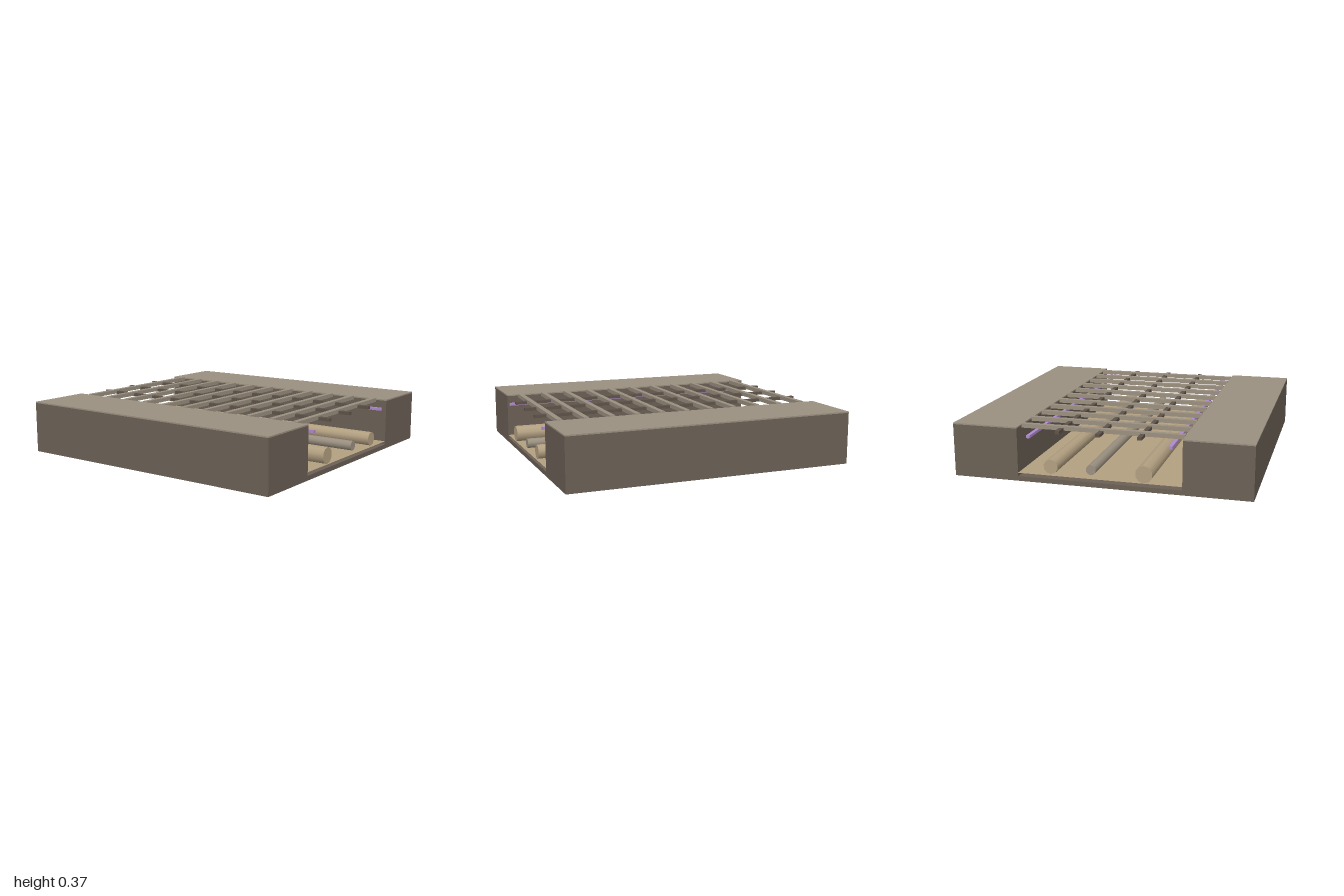
import * as THREE from 'three';

const mat = (name, color, extra = {}) => Object.assign(new THREE.MeshStandardMaterial({ color, ...extra }), { name });

export function createModel() {
  const root = new THREE.Group();
  root.name = 'serviceTrench';

  const wallMat = mat('darkStone', 0x6b6055);
  const deckMat = mat('paleStone', 0x9b9080);
  const tanMat = mat('tan', 0xb3a081);
  const floorMat = mat('tanFloor', 0xb3a081, { side: THREE.DoubleSide });
  const beamMat = mat('darkBeam', 0x5e5349);
  const stripMat = mat('purpleLight', 0xb08ad0);

  const add = (name, geometry, material, x, y, z = 0) => {
    const mesh = new THREE.Mesh(geometry, material);
    mesh.name = name;
    mesh.position.set(x, y, z);
    root.add(mesh);
    return mesh;
  };
  // Box placed by its bottom and top heights
  const slab = (name, m, x, w, y0, y1, z = 0, d = 2) =>
    add(name, new THREE.BoxGeometry(w, y1 - y0, d), m, x, (y0 + y1) / 2, z);

  // Foundation and the raised trench floor sheet
  slab('base', wallMat, 0, 2, 0, 0.032);
  add('trenchFloor', new THREE.PlaneGeometry(1.1, 2).rotateX(-Math.PI / 2), floorMat, 0, 0.055);

  // Side blocks, their walkway tops and light strips
  for (const [side, s] of [['left', 1], ['right', -1]]) {
    slab(side + 'Block', wallMat, s * 0.775, 0.45, 0.032, 0.355);
    slab(side + 'Walkway', deckMat, s * 0.775, 0.45, 0.355, 0.364);
    slab(side + 'LightStrip', stripMat, s * 0.474, 0.024, 0.296, 0.314);
  }

  // Pipes along the trench: x, radius, material
  const pipes = [[-0.302, 0.058, tanMat], [0.048, 0.034, deckMat], [0.322, 0.049, tanMat]];
  for (const [x, r, m] of pipes) {
    add('pipe', new THREE.CylinderGeometry(r, r, 2, 10).rotateX(Math.PI / 2), m, x, 0.115);
  }

  // Lengthwise grate beams
  for (const x of [-0.273, 0, 0.273]) slab('grateBeam', beamMat, x, 0.03, 0.337, 0.358);

  // Grate crossbars
  for (let i = -5; i <= 5; i++) slab('grateBar', deckMat, 0, 1.1, 0.341, 0.369, i * 0.18, 0.036);

  return root;
}
